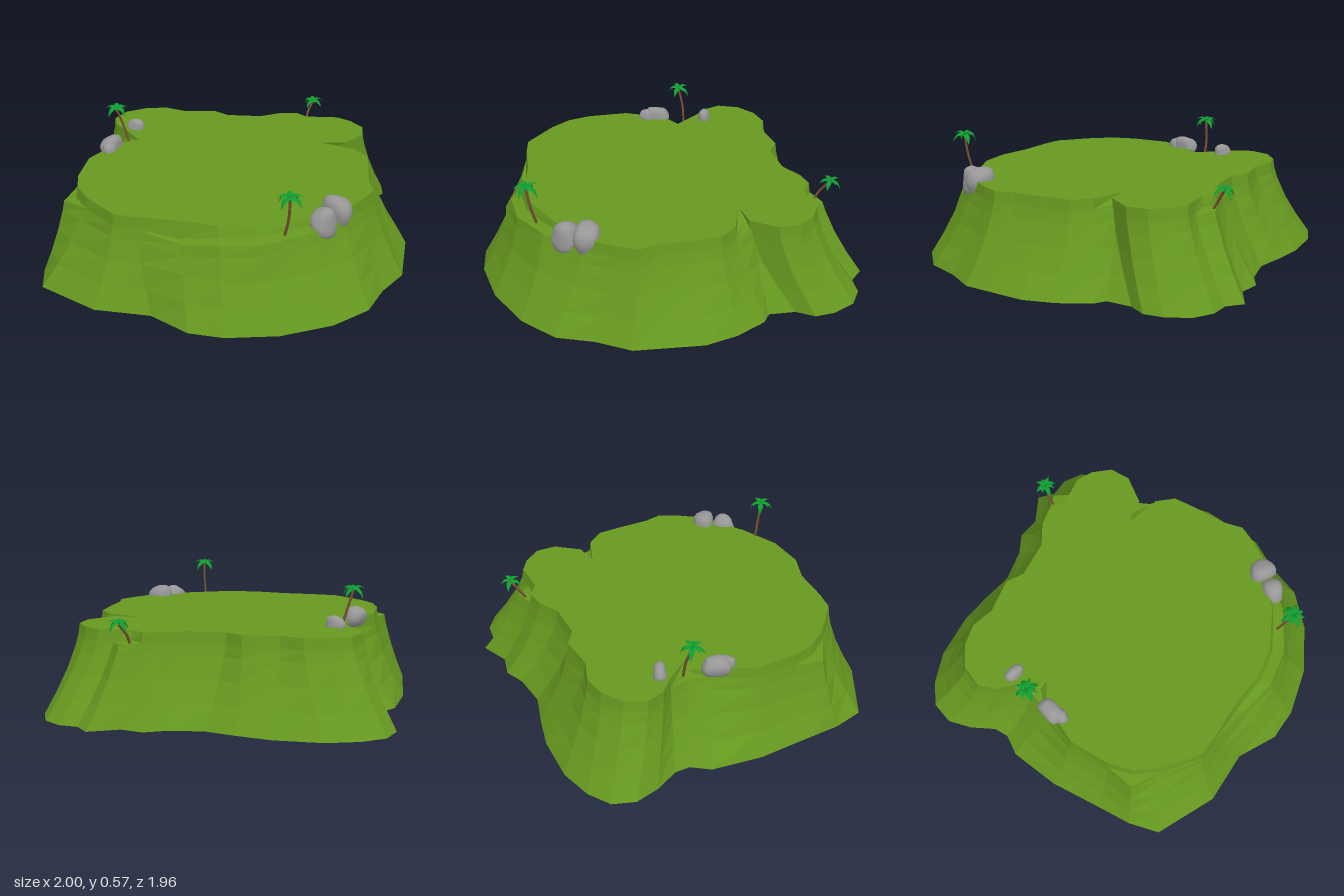
import * as THREE from 'three';
import { mergeVertices } from 'three/addons/utils/BufferGeometryUtils.js';

const material = (name, color, side = THREE.FrontSide) => {
  const m = new THREE.MeshStandardMaterial({ color, side });
  m.name = name;
  return m;
};

// Outline at the foot of the cliff, x,z pairs running back, left, front, right
const FOOT = [
  -.10, -.98, .02, -.96, .16, -.89, .32, -.74, .41, -.61, .49, -.48, .62, -.385, .72, -.35,
  .78, -.26, .92, -.21, .92, -.12, .98, -.05, 1, .05, .96, .16, .90, .23, .81, .25,
  .72, .33, .73, .39, .68, .54, .60, .67, .48, .77, .36, .87, .19, .91, .03, .98,
  -.17, .97, -.40, .89, -.59, .76, -.69, .64, -.74, .44, -.91, .25, -1, -.05, -.92, -.18,
  -.81, -.30, -.64, -.49, -.45, -.64, -.35, -.66, -.30, -.71, -.26, -.83, -.20, -.93];
// Matching outline at the rim of the plateau
const RIM = [
  -.08, -.76, .03, -.74, .12, -.68, .17, -.58, .30, -.48, .32, -.39, .45, -.27, .56, -.24,
  .63, -.19, .64, -.12, .70, -.06, .76, -.01, .78, .07, .77, .17, .70, .24, .56, .26,
  .46, .18, .54, .34, .53, .44, .44, .54, .34, .64, .29, .72, .20, .75, .05, .78,
  -.16, .73, -.35, .66, -.47, .56, -.57, .42, -.70, .28, -.76, .20, -.77, 0, -.75, -.12,
  -.69, -.22, -.55, -.36, -.35, -.43, -.24, -.40, -.22, -.55, -.22, -.64, -.18, -.72];
const TOP = 0.4;

// Columns with a step below the rim: [height, inset of its outer edge, inset of its inner edge]
const STEPS = {
  9: [.35, .70, .95], 16: [.36, .55, .75], 24: [.36, .74, .96], 25: [.35, .68, .92],
  26: [.345, .70, .92], 27: [.31, .80, .93], 31: [.34, .64, .95], 35: [.355, .68, .85],
};
const PLAIN = [.345, .95, .96];

function seeded(seed) {
  return () => (seed = (seed * 16807) % 2147483647) / 2147483647;
}

// Each column of the cliff climbs from foot to rim through a concave profile
function cliffGeometry() {
  const n = FOOT.length / 2, rand = seeded(11), pos = [], index = [];
  for (let i = 0; i < n; i++) {
    const [height, outer, inner] = STEPS[i] || PLAIN;
    const reach = outer / PLAIN[1], wobble = (rand() - .5) * .06;
    const profile = [[0, 0], [.1, .35 * reach + wobble / 2], [.2, .65 * reach + wobble],
      [height * .86, .87 * reach + wobble / 2], [height, outer], [height + .008, inner], [TOP, 1]];
    for (const [y, f] of profile) {
      pos.push(THREE.MathUtils.lerp(FOOT[2 * i], RIM[2 * i], f), y,
        THREE.MathUtils.lerp(FOOT[2 * i + 1], RIM[2 * i + 1], f));
    }
    for (let r = 0; r < profile.length - 1; r++) {
      const a = i * profile.length + r, b = ((i + 1) % n) * profile.length + r;
      index.push(a, a + 1, b, b, a + 1, b + 1);
    }
  }
  const g = new THREE.BufferGeometry();
  g.setAttribute('position', new THREE.Float32BufferAttribute(pos, 3));
  g.setIndex(index);
  const flat = g.toNonIndexed();
  flat.computeVertexNormals();
  return flat;
}

function plateauGeometry() {
  const pts = [];
  for (let i = 0; i < RIM.length; i += 2) pts.push(new THREE.Vector2(RIM[i], -RIM[i + 1]));
  return new THREE.ShapeGeometry(new THREE.Shape(pts)).rotateX(-Math.PI / 2).translate(0, TOP, 0);
}

// Smooth boulder: a sphere dented by low waves
function rockGeometry(seed) {
  let g = new THREE.IcosahedronGeometry(1, 3);
  g.deleteAttribute('uv');
  g.deleteAttribute('normal');
  g = mergeVertices(g, 1e-4);
  const p = g.attributes.position, v = new THREE.Vector3();
  for (let i = 0; i < p.count; i++) {
    v.fromBufferAttribute(p, i);
    const k = .96 + .08 * Math.sin(3 * v.x + seed) + .07 * Math.sin(4 * v.y + 2 * seed + 2 * v.z);
    // flattened sides make it blockier than a ball
    const box = Math.max(Math.abs(v.x), Math.abs(v.y), Math.abs(v.z));
    v.multiplyScalar(k / Math.pow(box, .35) * .93);
    p.setXYZ(i, v.x, v.y, v.z);
  }
  g.computeVertexNormals();
  return g;
}

// Drooping frond: a pointed, ridged strip growing along +x
function frondGeometry(length) {
  const g = new THREE.PlaneGeometry(1, 1, 5, 2), p = g.attributes.position;
  for (let i = 0; i < p.count; i++) {
    const t = p.getX(i) + .5, side = p.getY(i) * 2;
    const half = length * (.03 * (1 - t) + .2 * Math.sin(Math.PI * Math.pow(t, .8)));
    p.setXYZ(i, length * (1.1 * t - .15 * t * t * t),
      length * (1.3 * t - 1.75 * t * t - Math.abs(side) * .14 * Math.sin(Math.PI * t)), -side * half);
  }
  g.computeVertexNormals();
  return g;
}

function createPalm(base, crown, size, trunkMat, leafMat) {
  const palm = new THREE.Group();
  palm.name = 'palmTree';
  const a = new THREE.Vector3(...base), b = new THREE.Vector3(...crown);
  const bend = a.clone().lerp(b, .5);
  bend.x += (a.x - b.x) * .15;
  bend.z += (b.z - a.z) * .2;
  const trunk = new THREE.Mesh(
    new THREE.TubeGeometry(new THREE.CatmullRomCurve3([a, bend, b]), 8, .006, 6), trunkMat);
  trunk.name = 'palmTrunk';
  palm.add(trunk);
  // alternate fronds hang low or reach up
  for (let i = 0; i < 8; i++) {
    const frond = new THREE.Mesh(frondGeometry(size * (i % 2 ? .85 : 1)), leafMat);
    frond.name = 'palmFrond';
    frond.position.copy(b);
    frond.rotation.set(0, i * Math.PI / 4 + .2, i % 2 ? .55 : -.15 + i * .03);
    palm.add(frond);
  }
  return palm;
}

export function createModel() {
  const grass = material('grass green', 0x66981f, THREE.DoubleSide);
  const stone = material('stone grey', 0x979797);
  const bark = material('bark brown', 0x765030);
  const leaf = material('palm leaf green', 0x109c30, THREE.DoubleSide);

  const model = new THREE.Group();
  model.name = 'plateauHill';

  // Hill: open shell with a flat top
  const cliff = new THREE.Mesh(cliffGeometry(), grass);
  cliff.name = 'cliffSides';
  const plateau = new THREE.Mesh(plateauGeometry(), grass);
  plateau.name = 'plateauTop';
  model.add(cliff, plateau);

  // Boulders: centre, radii, turn
  [
    [[-.063, .37, .768], [.07, .078, .052], .1],
    [[.045, .38, .74], [.062, .078, .073], .3],
    [[-.385, .405, -.415], [.066, .06, .05], .5],
    [[-.43, .4, -.375], [.035, .05, .032], .2],
    [[-.165, .405, -.54], [.036, .045, .05], .4],
  ].forEach(([centre, radii, turn], i) => {
    const rock = new THREE.Mesh(rockGeometry(i * 1.7 + 1), stone);
    rock.name = 'boulder';
    rock.position.set(...centre);
    rock.scale.set(...radii);
    rock.rotation.y = turn;
    model.add(rock);
  });

  // Palms: foot, crown, frond length
  [
    [[-.25, .345, .73], [-.262, .55, .775], .064],
    [[-.25, .35, -.47], [-.30, .55, -.50], .062],
    [[.67, .33, -.15], [.74, .445, -.18], .056],
  ].forEach(([foot, crown, size]) => model.add(createPalm(foot, crown, size, bark, leaf)));

  return model;
}
